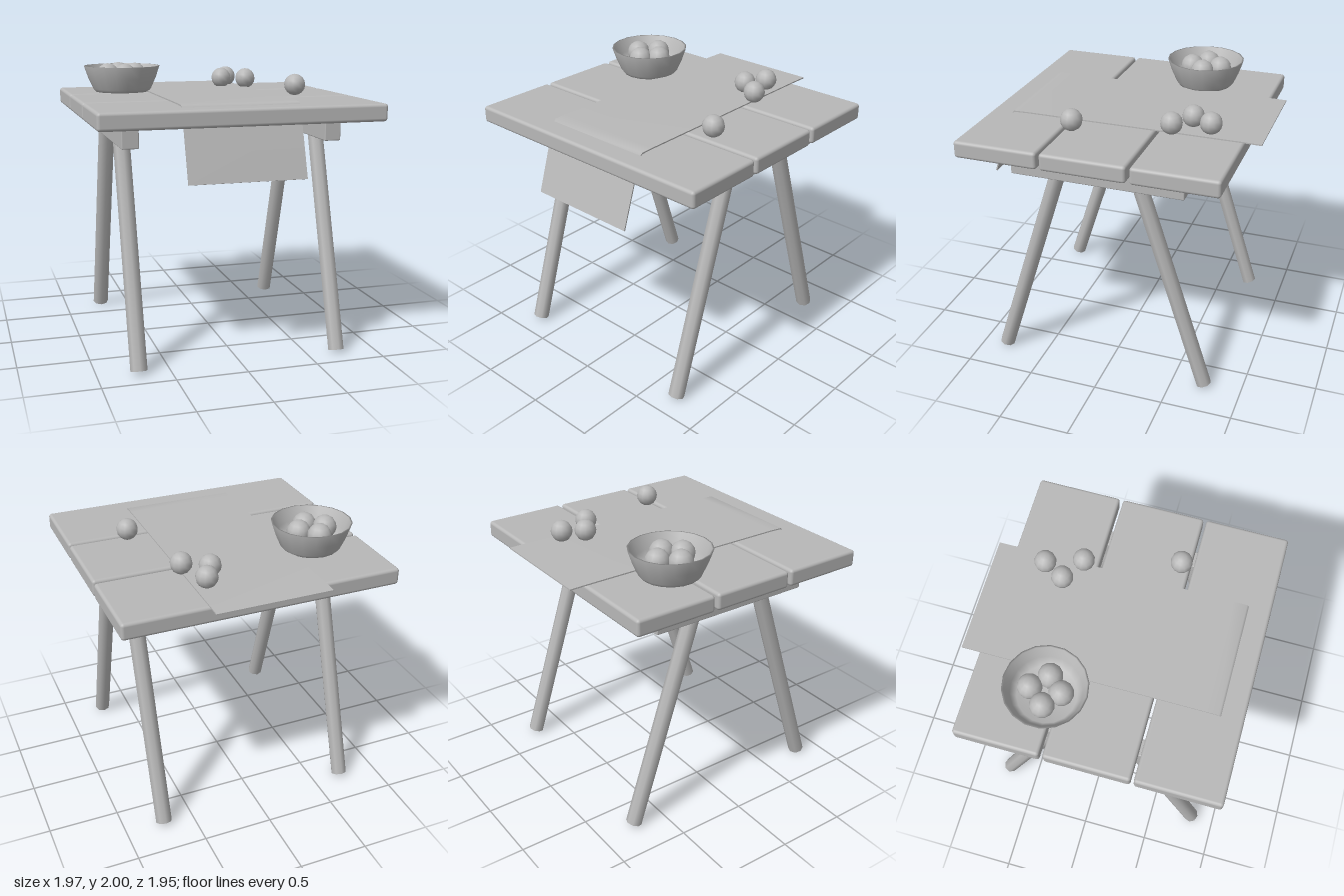
import * as THREE from 'three';
import { RoundedBoxGeometry } from 'three/addons/geometries/RoundedBoxGeometry.js';

const clay = new THREE.MeshStandardMaterial({ color: 0xb8b8b8 });
clay.name = 'clay grey';

function add(parent, name, geometry, x = 0, y = 0, z = 0) {
  const mesh = new THREE.Mesh(geometry, clay);
  mesh.name = name;
  mesh.position.set(x, y, z);
  parent.add(mesh);
  return mesh;
}

// Thin cloth: a box whose length follows a list of [z, y] points
function clothGeometry(width, thickness, path) {
  const n = path.length - 1;
  const geometry = new THREE.BoxGeometry(width, thickness, 1, 1, 1, n);
  const pos = geometry.attributes.position;
  for (let i = 0; i < pos.count; i++) {
    const k = Math.round((pos.getZ(i) + 0.5) * n);
    const a = path[Math.max(k - 1, 0)], b = path[Math.min(k + 1, n)];
    const dz = b[0] - a[0], dy = b[1] - a[1], len = Math.hypot(dz, dy);
    const off = pos.getY(i);
    pos.setZ(i, path[k][0] - (dy / len) * off);
    pos.setY(i, path[k][1] + (dz / len) * off);
  }
  geometry.computeVertexNormals();
  return geometry;
}

export function createModel() {
  const table = new THREE.Group();
  table.name = 'table';

  // Three rounded planks with narrow gaps
  for (const z of [0.67, 0.058, -0.558]) {
    add(table, 'plank', new RoundedBoxGeometry(1.966, 0.12, 0.592, 3, 0.022), 0, 1.72, z);
  }

  // A cross beam and a splayed pair of legs on each side
  const lean = Math.atan2(0.475, 1.48);
  for (const side of [-1, 1]) {
    const x = side * 0.717;
    add(table, 'crossBeam', new RoundedBoxGeometry(0.118, 0.164, 1.227, 2, 0.008), x, 1.58, 0.047);
    for (const [name, dir] of [['frontLeg', 1], ['backLeg', -1]]) {
      const leg = add(table, name, new THREE.CylinderGeometry(0.059, 0.059, 1.57, 8),
        x, 0.765, 0.046 + dir * 0.536);
      leg.rotation.x = -dir * lean;
      leg.scale.z = 0.93;
    }
  }

  // Runner, lying flat and dropping at the front
  add(table, 'runner', clothGeometry(0.815, 0.009, [
    [-0.975, 1.79], [-0.86, 1.792], [-0.4, 1.793], [0.2, 1.793], [0.7, 1.793],
    [0.795, 1.79], [0.815, 1.77], [0.855, 1.66], [0.973, 1.3],
  ]));

  // Bowl with a thin rim
  const profile = [
    [0, 1.79], [0.2, 1.79], [0.217, 1.812], [0.252, 1.89], [0.283, 1.98],
    [0.27, 1.98], [0.238, 1.89], [0.2, 1.825], [0, 1.81],
  ].map(([r, y]) => new THREE.Vector2(r, y));
  add(table, 'bowl', new THREE.LatheGeometry(profile, 18), -0.578, 0, -0.322);

  // Fruit heaped in the bowl
  const bowlFruit = new THREE.SphereGeometry(0.085, 12, 8);
  for (const [x, z] of [[-0.585, -0.43], [-0.48, -0.322], [-0.686, -0.316], [-0.575, -0.22]]) {
    add(table, 'bowlFruit', bowlFruit, x, 1.915, z);
  }

  // Loose fruit on the table top
  const looseFruit = new THREE.SphereGeometry(0.077, 12, 8);
  for (const [x, z] of [[0.323, -0.61], [0.241, -0.465], [0.406, -0.36], [0.57, 0.29]]) {
    add(table, 'looseFruit', looseFruit, x, 1.862, z);
  }

  return table;
}
